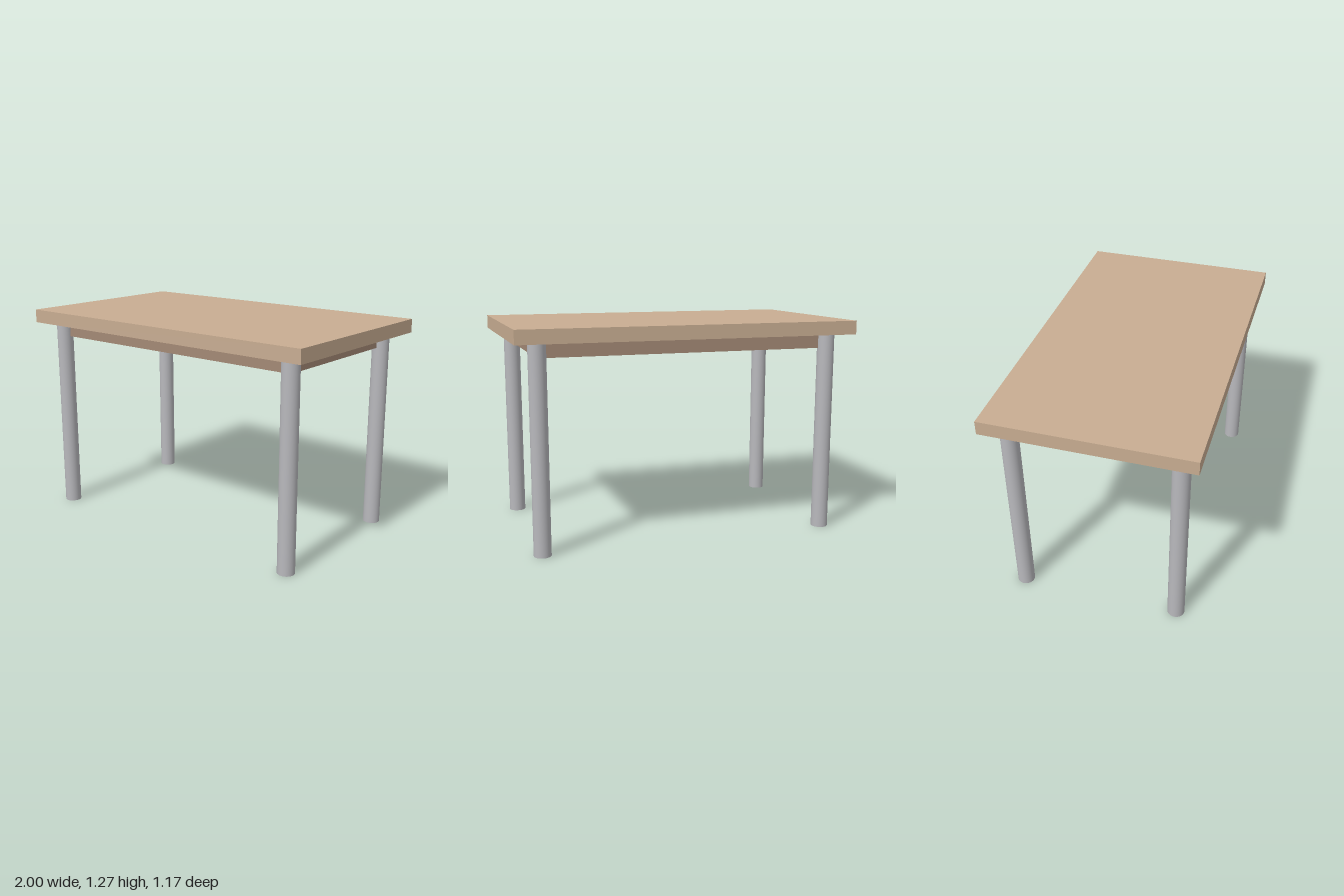
import * as THREE from 'three';

export function createModel() {
  const table = new THREE.Group();
  table.name = 'table';

  const topWood = new THREE.MeshStandardMaterial({ name: 'light wood', color: 0xc8ad92 });
  const apronWood = new THREE.MeshStandardMaterial({ name: 'dark wood', color: 0xa38975 });
  const metal = new THREE.MeshStandardMaterial({ name: 'grey metal', color: 0xb8b8bc, side: THREE.DoubleSide });

  const legX = 0.865, legZ = 0.467, legRadius = 0.05;
  const legHeight = 1.19, topThickness = 0.08, apronHeight = 0.085;

  const add = (name, geometry, material, x, y, z) => {
    const mesh = new THREE.Mesh(geometry, material);
    mesh.name = name;
    mesh.position.set(x, y, z);
    table.add(mesh);
  };

  // Slab on top
  add('tabletop', new THREE.BoxGeometry(2, topThickness, 1.166), topWood,
    0, legHeight + topThickness / 2, 0);

  // Solid apron below the slab, its corners at the leg centres
  add('apron', new THREE.BoxGeometry(legX * 2, apronHeight, legZ * 2), apronWood,
    0, legHeight - apronHeight / 2, 0);

  // Four open tube legs
  const leg = new THREE.CylinderGeometry(legRadius, legRadius, legHeight, 32, 1, true);
  for (const [zName, sz] of [['front', 1], ['back', -1]]) {
    for (const [xName, sx] of [['Left', 1], ['Right', -1]]) {
      add(`${zName}${xName}Leg`, leg, metal, sx * legX, legHeight / 2, sz * legZ);
    }
  }

  return table;
}
